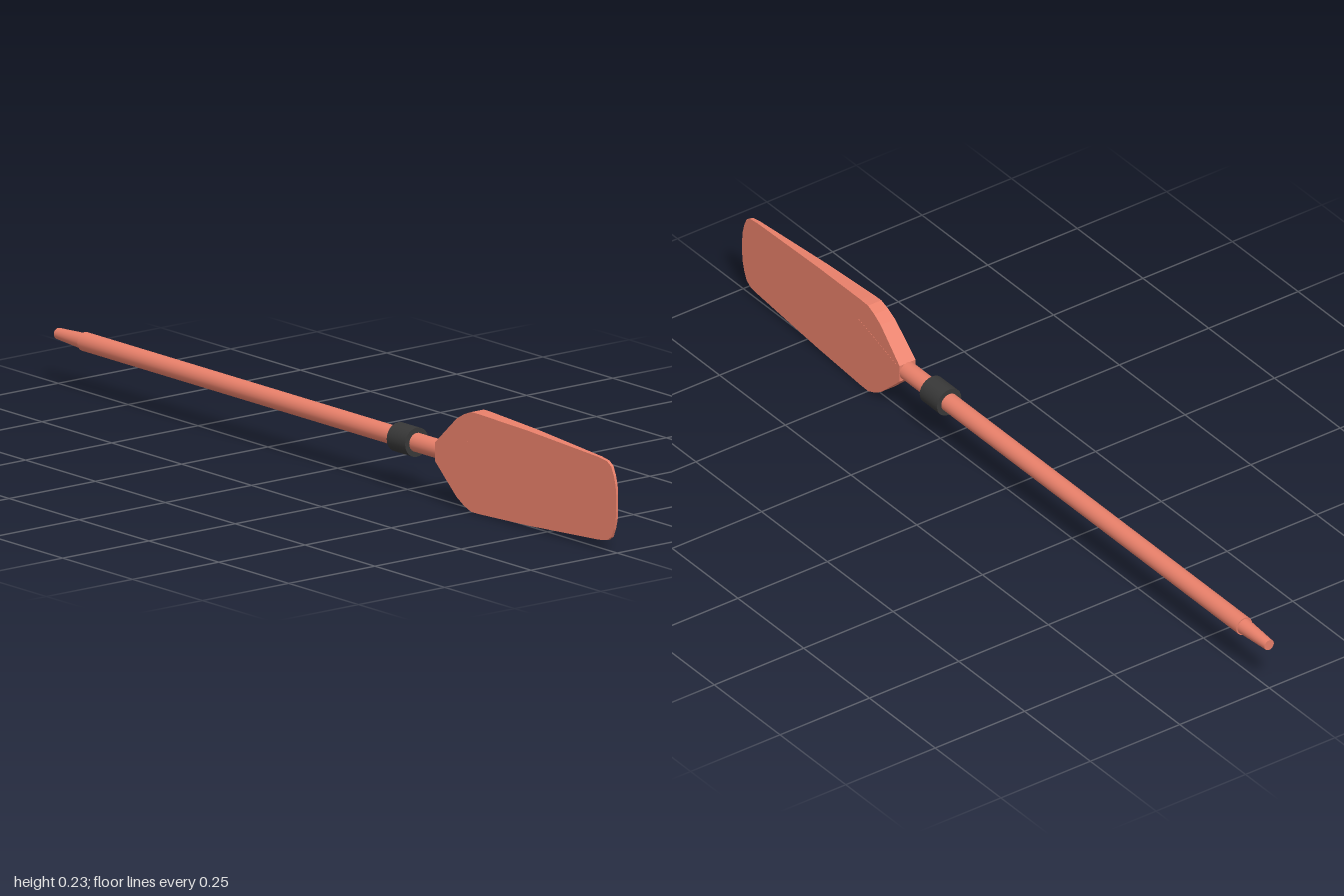
import * as THREE from 'three';

const AXIS_Y = 0.118;

// Half thickness of the blade, thinning evenly toward the tip
const halfThickness = x => 0.003 + 0.0312 * (1 - x);

export function createModel() {
  const oar = new THREE.Group();
  oar.name = 'oar';
  const wood = new THREE.MeshStandardMaterial({ color: 0xe9806a });
  const woodFlat = new THREE.MeshStandardMaterial({ color: 0xe9806a, flatShading: true });
  const rubber = new THREE.MeshStandardMaterial({ color: 0x383838 });

  const add = (name, geometry, material) => {
    const mesh = new THREE.Mesh(geometry, material);
    mesh.name = name;
    mesh.position.y = AXIS_Y;
    oar.add(mesh);
  };

  // Round section lying along x, from x0 (radius r0) to x1 (radius r1)
  const rod = (name, x0, r0, x1, r1, material) => {
    const g = new THREE.CylinderGeometry(r1, r0, x1 - x0, 24);
    g.rotateZ(-Math.PI / 2);
    g.translate((x0 + x1) / 2, 0, 0);
    add(name, g, material);
  };

  // Plate mirrored about the axis, tapered in thickness along x
  const plate = (name, half, extra) => {
    const lower = half.map(([x, y]) => new THREE.Vector2(x, -y));
    const upper = half.map(([x, y]) => new THREE.Vector2(x, y)).reverse();
    const shape = new THREE.Shape([...lower, ...upper]);
    const g = new THREE.ExtrudeGeometry(shape, { depth: 2, bevelEnabled: false });
    const p = g.attributes.position;
    for (let i = 0; i < p.count; i++) {
      p.setZ(i, (p.getZ(i) - 1) * (halfThickness(p.getX(i)) + extra));
    }
    g.computeVertexNormals();
    add(name, g, woodFlat);
  };

  // Handle and shaft
  rod('grip', -1, 0.013, -0.9, 0.019, wood);
  rod('shaft', -0.905, 0.022, 0.4, 0.022, wood);

  // Collar around the shaft
  rod('collar', 0.217, 0.034, 0.283, 0.034, rubber);

  // Blade and the slightly raised flare where the shaft meets it
  plate('blade', [
    [0.375, 0.021], [0.41, 0.054], [0.45, 0.091], [0.475, 0.106], [0.5, 0.116],
    [0.53, 0.116], [0.7, 0.11], [0.94, 0.096], [0.968, 0.092], [0.983, 0.082],
    [0.992, 0.062], [0.998, 0.04], [1, 0.02],
  ], 0);
  plate('bladeFlare', [[0.385, 0.018], [0.54, 0.06]], 0.0004);

  return oar;
}
